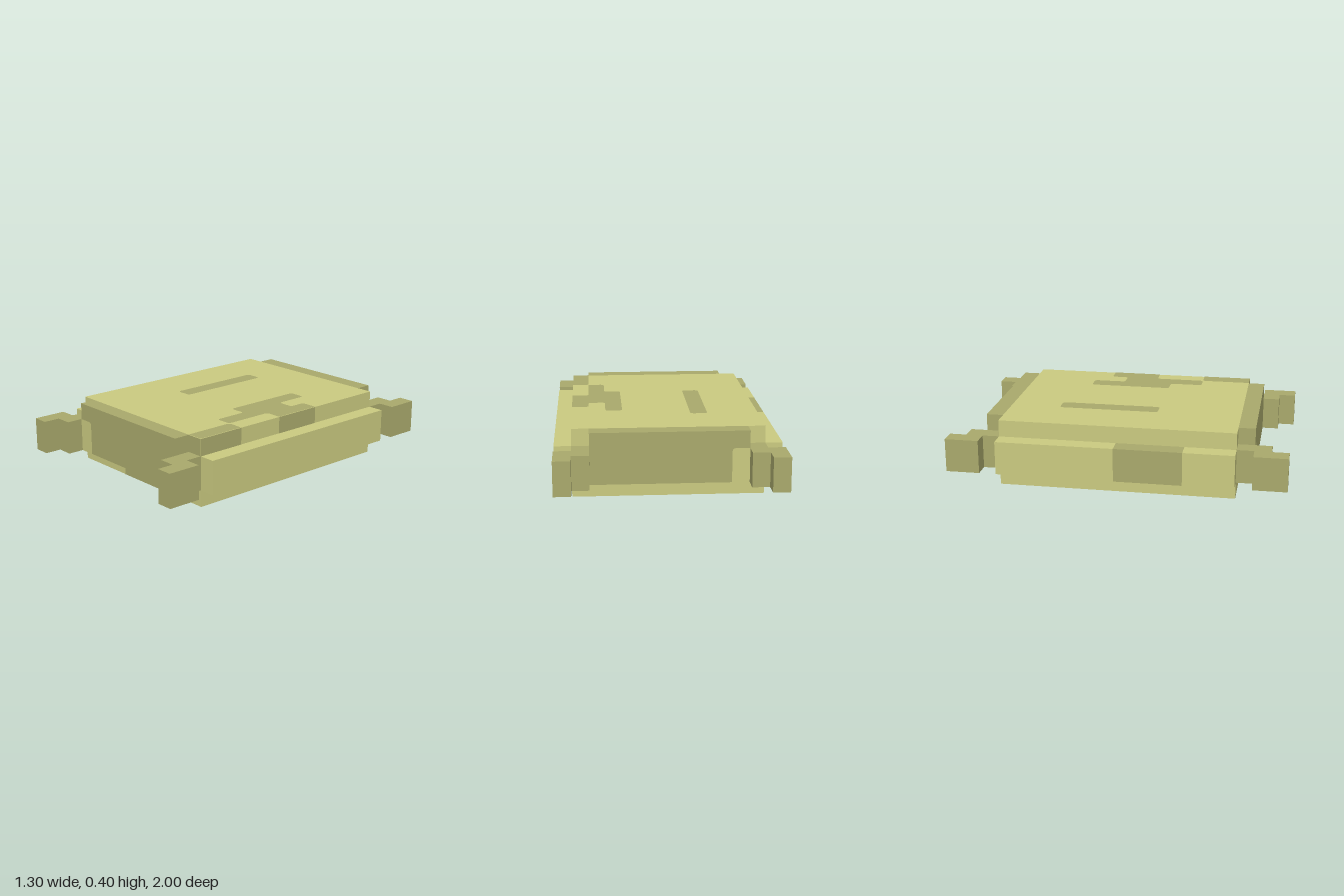
import * as THREE from 'three';

const light = new THREE.MeshStandardMaterial({ color: 0xcaca80 });
light.name = 'pale straw';
const dark = new THREE.MeshStandardMaterial({ color: 0xa9a96c });
dark.name = 'dark straw';

// Box given by its lower and upper corners
function box(name, material, [x0, y0, z0], [x1, y1, z1]) {
  const geometry = new THREE.BoxGeometry(x1 - x0, y1 - y0, z1 - z0);
  geometry.translate((x0 + x1) / 2, (y0 + y1) / 2, (z0 + z1) / 2);
  const mesh = new THREE.Mesh(geometry, material);
  mesh.name = name;
  return mesh;
}

// How a flat outline is turned onto each face
const turns = {
  top: [-Math.PI / 2, 0], // outline is (x, -z)
  bottom: [Math.PI / 2, 0], // (x, z)
  front: [0, 0], // (x, y)
  back: [0, Math.PI], // (-x, y)
  left: [0, Math.PI / 2], // (-z, y)
};

// Painted patch; corners on the 'sharp' test stay square, others are softened
function patch(name, material, face, distance, points, sharp = () => false) {
  const shape = new THREE.Shape();
  const corners = points.map(([x, y]) => new THREE.Vector2(x, y));
  const r = 0.02;
  corners.forEach((p, i) => {
    const before = corners[(i + corners.length - 1) % corners.length];
    const after = corners[(i + 1) % corners.length];
    const soft = sharp(p) ? 0 : r;
    const a = p.clone().add(before.clone().sub(p).setLength(soft));
    const b = p.clone().add(after.clone().sub(p).setLength(soft));
    if (i === 0) shape.moveTo(a.x, a.y);
    else shape.lineTo(a.x, a.y);
    if (soft) shape.quadraticCurveTo(p.x, p.y, b.x, b.y);
  });
  const geometry = new THREE.ShapeGeometry(shape, 3);
  geometry.translate(0, 0, distance + 0.002);
  geometry.rotateX(turns[face][0]).rotateY(turns[face][1]);
  const mesh = new THREE.Mesh(geometry, material);
  mesh.name = name;
  return mesh;
}

const rect = (x0, y0, x1, y1) => [[x0, y0], [x1, y0], [x1, y1], [x0, y1]];
const always = () => true;

export function createModel() {
  const model = new THREE.Group();
  model.name = 'flatShell';

  // Main slab
  model.add(box('body', light, [-0.55, 0, -0.7], [0.55, 0.4, 0.7]));

  // Side ledges; the right one has a dark band
  model.add(box('leftLedge', light, [0.55, 0.1, -0.7], [0.65, 0.3, 0.7]));
  const rightLedge = new THREE.Group();
  rightLedge.name = 'rightLedge';
  [[light, -0.7, 0], [dark, 0, 0.4], [light, 0.4, 0.7]].forEach(([material, z0, z1]) =>
    rightLedge.add(box('ledgeSection', material, [-0.65, 0.1, z0], [-0.55, 0.3, z1])));
  model.add(rightLedge);

  // End plates
  model.add(box('frontPlate', dark, [-0.45, 0.1, 0.7], [0.45, 0.4, 0.8]));
  model.add(box('backPlate', dark, [-0.45, 0.1, -0.8], [0.45, 0.4, -0.7]));

  // Four stepped legs
  for (const sx of [-1, 1]) {
    for (const sz of [-1, 1]) {
      const leg = new THREE.Group();
      leg.name = (sz > 0 ? 'front' : 'back') + (sx > 0 ? 'Left' : 'Right') + 'Leg';
      for (const [name, x, z] of [['upperLeg', 0.5, 0.8], ['foot', 0.6, 0.9]]) {
        const cx = sx * x, cz = sz * z;
        leg.add(box(name, dark, [cx - 0.05, 0.1, cz - 0.1], [cx + 0.05, 0.3, cz + 0.1]));
      }
      model.add(leg);
    }
  }

  // Top markings
  const atRim = (p) => p.x > 0.54;
  model.add(patch('topStripe', dark, 'top', 0.4, rect(-0.25, -0.2, -0.15, 0.4)));
  model.add(patch('topBlotch', dark, 'top', 0.4, [
    [0.25, -0.2], [0.35, -0.2], [0.35, -0.4], [0.45, -0.4], [0.45, -0.1], [0.55, -0.1],
    [0.55, 0.2], [0.45, 0.2], [0.45, 0.1], [0.35, 0.1], [0.35, 0.3], [0.25, 0.3],
  ], atRim));
  model.add(patch('topCorner', dark, 'top', 0.4, rect(0.45, -0.7, 0.55, -0.4),
    (p) => atRim(p) || p.y < -0.69));

  // Markings running over the left rim and the front corner
  model.add(patch('rimBlotch', dark, 'left', 0.55, rect(-0.1, 0.3, 0.2, 0.4), always));
  model.add(patch('rimCorner', dark, 'left', 0.55, rect(-0.7, 0.3, -0.4, 0.4), always));
  model.add(patch('frontCorner', dark, 'front', 0.7, rect(0.45, 0.3, 0.55, 0.4), always));

  // Dark strip along the lower front edge, wrapping underneath
  model.add(patch('frontStrip', dark, 'front', 0.7, rect(-0.15, 0, 0.45, 0.1), always));
  model.add(patch('underStrip', dark, 'bottom', 0, rect(-0.15, 0.6, 0.45, 0.7), (p) => p.y > 0.69));

  // Pale patches on the end plates
  model.add(patch('frontPalePatch', light, 'front', 0.8, rect(-0.45, 0.1, -0.35, 0.3),
    (p) => p.x < -0.44 || p.y < 0.2));
  model.add(patch('backPalePatch', light, 'back', 0.8, rect(0.35, 0.1, 0.45, 0.3),
    (p) => p.x > 0.44 || p.y < 0.2));

  return model;
}
